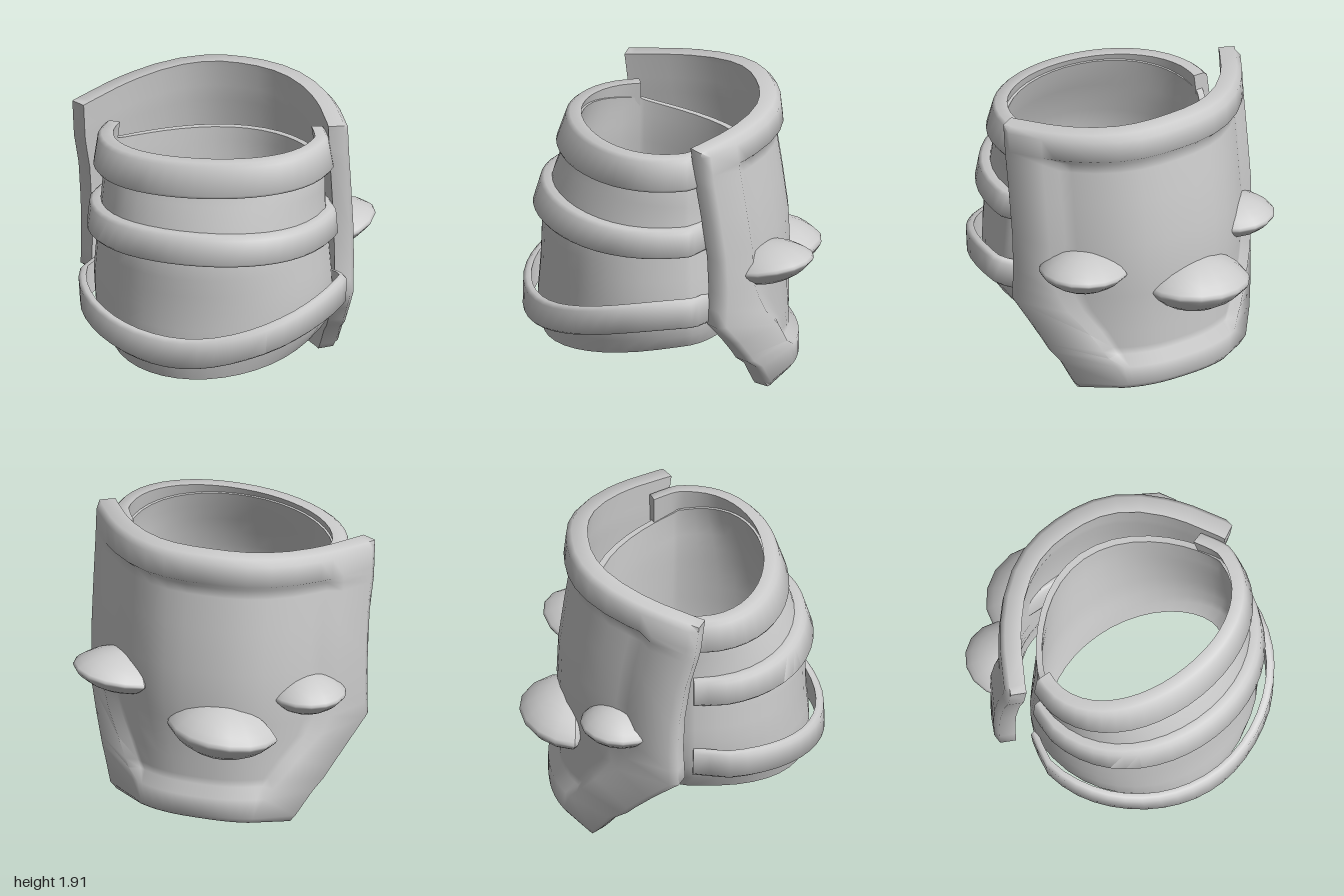
import * as THREE from 'three';
import { toCreasedNormals } from 'three/addons/utils/BufferGeometryUtils.js';

const material = new THREE.MeshStandardMaterial({ color: 0xcccccc, side: THREE.DoubleSide });

// Piecewise-linear lookup of one column in rows sorted by their first value
function lookup(rows, y, col) {
  if (y <= rows[0][0]) return rows[0][col];
  for (let i = 1; i < rows.length; i++) {
    const a = rows[i - 1], b = rows[i];
    if (y <= b[0]) return THREE.MathUtils.lerp(a[col], b[col], (y - a[0]) / (b[0] - a[0]));
  }
  return rows[rows.length - 1][col];
}

// Skins closed cross-section rings, either joined in a loop or capped at both ends
function loft(rings, loop, crease) {
  const n = rings[0].length, m = rings.length, index = [];
  const quad = (a, b, c, d) => index.push(a, b, c, a, c, d);
  for (let r = 0; r < (loop ? m : m - 1); r++) {
    const p = r * n, q = ((r + 1) % m) * n;
    for (let i = 0; i < n; i++) {
      const j = (i + 1) % n;
      quad(p + i, p + j, q + j, q + i);
    }
  }
  if (!loop) {
    const e = (m - 1) * n;
    for (let i = 0; i < n / 2 - 1; i++) {
      const k = n - 1 - i;
      quad(i, k, k - 1, i + 1);
      quad(e + i, e + i + 1, e + k - 1, e + k);
    }
  }
  // Turn the faces outward if the enclosed volume is negative
  const pts = rings.flat();
  let volume = 0;
  const cross = new THREE.Vector3();
  for (let i = 0; i < index.length; i += 3) {
    volume += pts[index[i]].dot(cross.crossVectors(pts[index[i + 1]], pts[index[i + 2]]));
  }
  if (volume < 0) index.reverse();
  const geometry = new THREE.BufferGeometry().setFromPoints(pts);
  geometry.setIndex(index);
  return toCreasedNormals(geometry, crease);
}

// Sleeve section by height: y, half width, front z, back z, roundness of the back
const SLEEVE = [
  [0.28, 0.64, 0.87, -0.33, 1.1],
  [0.40, 0.69, 0.90, -0.35, 1.15],
  [0.52, 0.77, 0.90, -0.37, 1.2],
  [0.75, 0.79, 0.88, -0.42, 1.35],
  [1.10, 0.76, 0.87, -0.47, 1.5],
  [1.35, 0.74, 0.79, -0.50, 1.6],
  [1.55, 0.74, 0.70, -0.51, 1.6],
  [1.75, 0.70, 0.63, -0.52, 1.6],
];

// Point on the sleeve: angle 0 is the front, offset moves it outward
function sleevePoint(angle, y, offset) {
  const s = Math.sin(angle), c = Math.cos(angle), z0 = 0.1;
  const front = lookup(SLEEVE, y, 2) + offset, back = lookup(SLEEVE, y, 3) - offset;
  const z = c > 0
    ? z0 + (front - z0) * Math.pow(c, 0.87)
    : z0 - (z0 - back) * Math.pow(-c, lookup(SLEEVE, y, 4));
  return new THREE.Vector3(0.05 + (lookup(SLEEVE, y, 1) + offset) * s, y, z);
}

function sleeveGeometry() {
  const rings = [], segments = 40, rows = 12;
  for (let i = 0; i < segments; i++) {
    const a = (i / segments) * Math.PI * 2, s = Math.sin(a), c = Math.cos(a);
    const low = 0.4 - 0.11 * Math.max(c, 0) + 0.02 * s;
    const high = 1.6 + 0.1 * c + 0.03 * s;
    const outer = [], inner = [];
    for (let k = 0; k <= rows; k++) {
      const y = THREE.MathUtils.lerp(low, high, k / rows);
      outer.push(sleevePoint(a, y, 0));
      inner.unshift(sleevePoint(a, y, -0.045));
    }
    rings.push([...outer, ...inner]);
  }
  return loft(rings, true, 0.8);
}

// Strap with chamfered outer edges; midY gives its height from the sine of the
// angle, and pull draws the two ends in towards the sleeve
function strapGeometry({ midY, half, inner, outer, pull }) {
  const section = [[inner, -1], [outer - 0.02, -1], [outer, -0.8], [outer, 0.8], [outer - 0.02, 1], [inner, 1]];
  const rings = [], segments = 28;
  for (let i = 0; i <= segments; i++) {
    const degrees = THREE.MathUtils.lerp(-93, 117, i / segments);
    const a = THREE.MathUtils.degToRad(degrees), y = midY(Math.sin(a));
    const tuck = pull * (1 - THREE.MathUtils.smoothstep(degrees, -93, -76) + THREE.MathUtils.smoothstep(degrees, 95, 117));
    rings.push(section.map(([o, h]) => sleevePoint(a, y + h * half, o - tuck)));
  }
  return loft(rings, false, 1);
}

// Back plate rows: y, right end x, left end x, back z, panel width, frame raise, edge bevel
const PLATE = [
  [0.05, -0.50, 0.56, -0.66, 0.55, 1, 1],
  [0.09, -0.53, 0.58, -0.66, 0.55, 1, 0],
  [0.22, -0.61, 0.63, -0.66, 0.55, 1, 0],
  [0.28, -0.66, 0.67, -0.65, 0.56, 0, 0],
  [0.33, -0.69, 0.69, -0.65, 0.58, 0, 0],
  [0.45, -0.76, 0.74, -0.65, 0.62, 0, 0],
  [0.60, -0.84, 0.80, -0.65, 0.68, 0, 0],
  [0.72, -0.84, 0.80, -0.655, 0.73, 0, 0],
  [0.85, -0.84, 0.80, -0.66, 0.77, 0, 0],
  [1.10, -0.84, 0.80, -0.65, 0.77, 0, 0],
  [1.40, -0.84, 0.80, -0.61, 0.77, 0, 0],
  [1.63, -0.85, 0.80, -0.575, 0.77, 0, 0],
  [1.69, -0.85, 0.80, -0.565, 0.77, 0, 0],
  [1.74, -0.85, 0.80, -0.56, 0.77, 1, 0],
  [1.88, -0.85, 0.80, -0.545, 0.77, 1, 0],
  [1.92, -0.85, 0.80, -0.54, 0.77, 1, 1],
];

function plateGeometry() {
  const power = 2.5, bend = 1.05;
  const rings = PLATE.map(([y0, xr, xl, back, panel, frame, edge]) => {
    // Columns across the plate: position, frame raise, edge bevel
    const side = [[1, 1, 1], [0.97, 1, 0], [panel + 0.06, 1, 0],
      ...[1, 0.92, 0.75, 0.56, 0.38, 0.19].map(f => [panel * f, 0, 0])];
    const columns = [...side.map(([u, f, e]) => [-u, f, e]), [0, 0, 0], ...side.slice().reverse()];
    const outer = [], inner = [];
    for (const [u, f, e] of columns) {
      const x = (xr + xl) / 2 + (u * (xl - xr)) / 2;
      const lowDrop = (u < 0 ? 0.045 : 0.02) * Math.max(0, 1 - (y0 - 0.05) / 0.35);
      const highDrop = (u < 0 ? 0.13 : 0.07) * Math.max(0, (y0 - 0.4) / 1.52);
      const y = y0 - (lowDrop + highDrop) * u * u;
      const z = back + bend * Math.pow(Math.abs(x), power);
      const slope = Math.sign(x) * bend * power * Math.pow(Math.abs(x), power - 1), len = Math.hypot(slope, 1);
      const thick = 0.08 + 0.055 * Math.max(f, frame) - 0.03 * Math.max(e, edge);
      outer.push(new THREE.Vector3(x + (thick * slope) / len, y, z - thick / len));
      inner.unshift(new THREE.Vector3(x, y, z));
    }
    return [...outer, ...inner];
  });
  return loft(rings, false, 1.25);
}

// Lens-shaped spike pointing to -z: a flattened sphere with a sharp rim and a short root
function spikeGeometry(width, thickness, depth) {
  const geometry = new THREE.SphereGeometry(1, 16, 12);
  const p = geometry.attributes.position;
  for (let i = 0; i < p.count; i++) {
    const x = p.getX(i), y = p.getY(i), z = p.getZ(i);
    p.setXYZ(i, x * width, y * Math.pow(Math.abs(y), 0.6) * thickness, z * depth * (z > 0 ? 0.2 : 1));
  }
  geometry.computeVertexNormals();
  return geometry;
}

export function createModel() {
  const model = new THREE.Group();
  model.name = 'armGuard';
  const add = (name, geometry) => {
    const mesh = new THREE.Mesh(geometry, material);
    mesh.name = name;
    model.add(mesh);
    return mesh;
  };

  add('sleeve', sleeveGeometry());
  add('backPlate', plateGeometry());

  // Three wrapped straps across the front
  add('upperStrap', strapGeometry({ midY: s => 1.635 + 0.05 * s - 0.015 * s * s, half: 0.11, inner: -0.03, outer: 0.065, pull: 0.01 }));
  add('middleStrap', strapGeometry({ midY: s => 1.215 + 0.02 * s - 0.04 * s * s, half: 0.095, inner: -0.01, outer: 0.07, pull: 0.03 }));
  add('lowerStrap', strapGeometry({ midY: s => 0.51 + (s < 0 ? 0.12 : 0.21) * s * s, half: 0.1, inner: 0.05, outer: 0.1, pull: 0.07 }));

  // Three spikes on the plate: name, position, size, rotation (tilt, heading, roll)
  const spikes = [
    ['centreSpike', [-0.15, 0.68, -0.66], [0.37, 0.19, 0.34], [0.1, 0, 0.1]],
    ['leftSpike', [0.58, 0.9, -0.47], [0.29, 0.14, 0.35], [0.2, -0.8, 0]],
    ['rightSpike', [-0.62, 0.88, -0.37], [0.26, 0.14, 0.28], [0.05, 0.8, 0.05]],
  ];
  for (const [name, position, size, [tilt, heading, roll]] of spikes) {
    const spike = add(name, spikeGeometry(...size));
    spike.position.set(...position);
    spike.rotation.set(tilt, heading, roll, 'YXZ');
  }
  return model;
}
